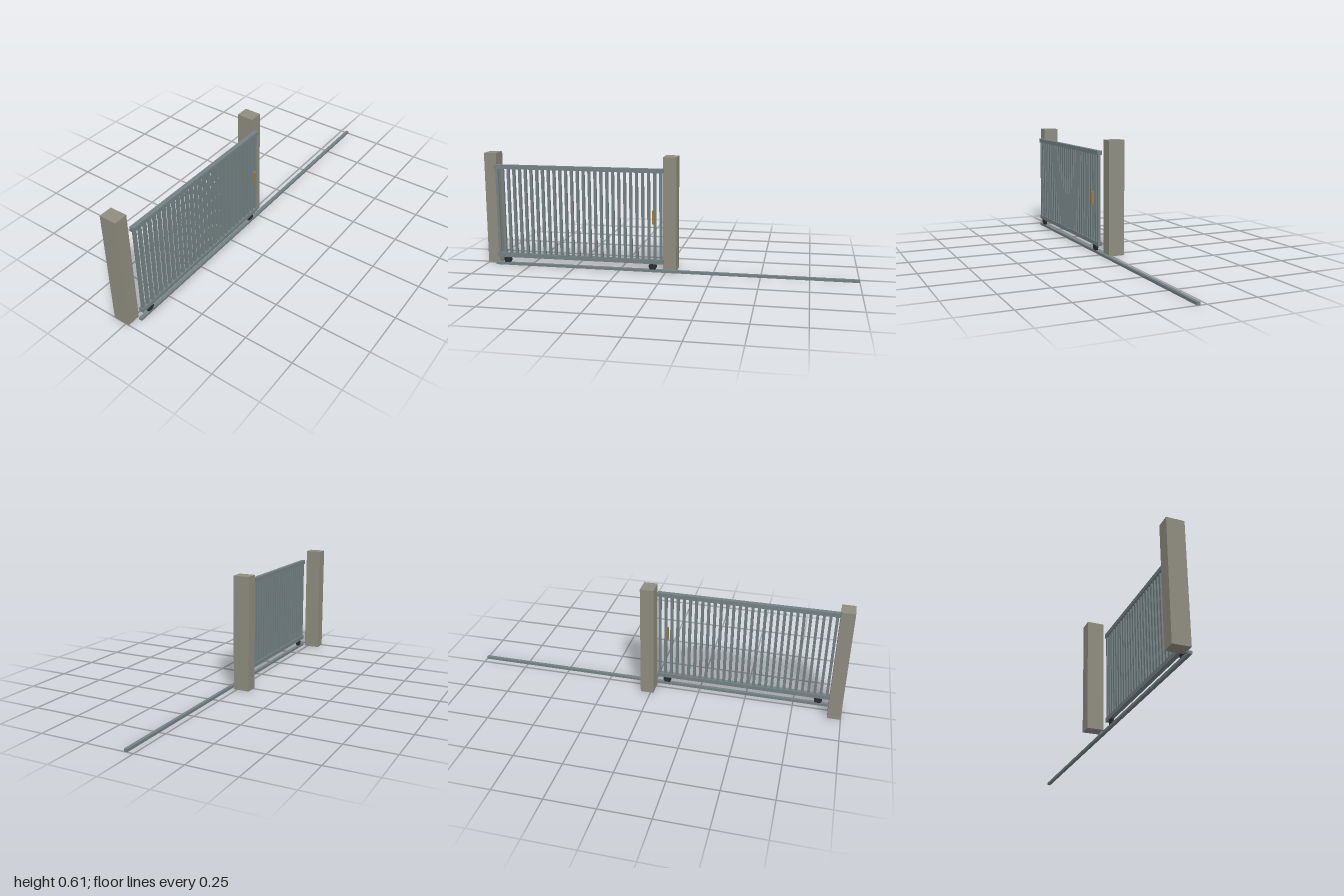
import * as THREE from 'three';

export function createModel() {
  const model = new THREE.Group();
  model.name = 'slidingGate';

  const material = (name, color) => {
    const m = new THREE.MeshStandardMaterial({ color });
    m.name = name;
    return m;
  };
  const stone = material('stone', 0x8f8d7f);
  const steel = material('steel', 0x748284);
  const rubber = material('rubber', 0x2a2e2e);
  const brass = material('brass', 0xa67c32);

  // Box given by its extents along each axis
  const box = (name, mat, [x0, x1], [y0, y1], [z0, z1], parent = model) => {
    const mesh = new THREE.Mesh(new THREE.BoxGeometry(x1 - x0, y1 - y0, z1 - z0), mat);
    mesh.position.set((x0 + x1) / 2, (y0 + y1) / 2, (z0 + z1) / 2);
    mesh.name = name;
    parent.add(mesh);
    return mesh;
  };

  // Gate posts
  box('rightPost', stone, [-1, -0.932], [0, 0.61], [-0.07, 0.018]);
  box('leftPost', stone, [-0.016, 0.054], [0, 0.61], [-0.07, 0.018]);

  // Ground track, long enough for the open gate
  box('track', steel, [-0.945, 1], [0, 0.014], [0.032, 0.049]);

  // Sliding leaf
  const leaf = new THREE.Group();
  leaf.name = 'gateLeaf';
  model.add(leaf);
  const span = [-0.934, -0.012], depth = [0.029, 0.052];
  box('topRail', steel, span, [0.53, 0.552], depth, leaf);
  box('bottomRail', steel, span, [0.045, 0.067], depth, leaf);

  // Vertical bars
  const bars = 29, first = -0.92, last = -0.024, half = 0.007;
  for (let i = 0; i < bars; i++) {
    const x = first + (last - first) * i / (bars - 1);
    box('bar', steel, [x - half, x + half], [0.06, 0.537], [0.034, 0.048], leaf);
  }

  // Rollers running on the track
  for (const x of [-0.877, -0.068]) {
    const wheel = new THREE.Mesh(new THREE.CylinderGeometry(0.021, 0.021, 0.013, 24), rubber);
    wheel.rotation.x = Math.PI / 2;
    wheel.position.set(x, 0.031, 0.041);
    wheel.name = 'roller';
    leaf.add(wheel);
  }

  // Pull handle
  box('handle', brass, [-0.066, -0.054], [0.264, 0.335], [0.058, 0.071], leaf);

  return model;
}
